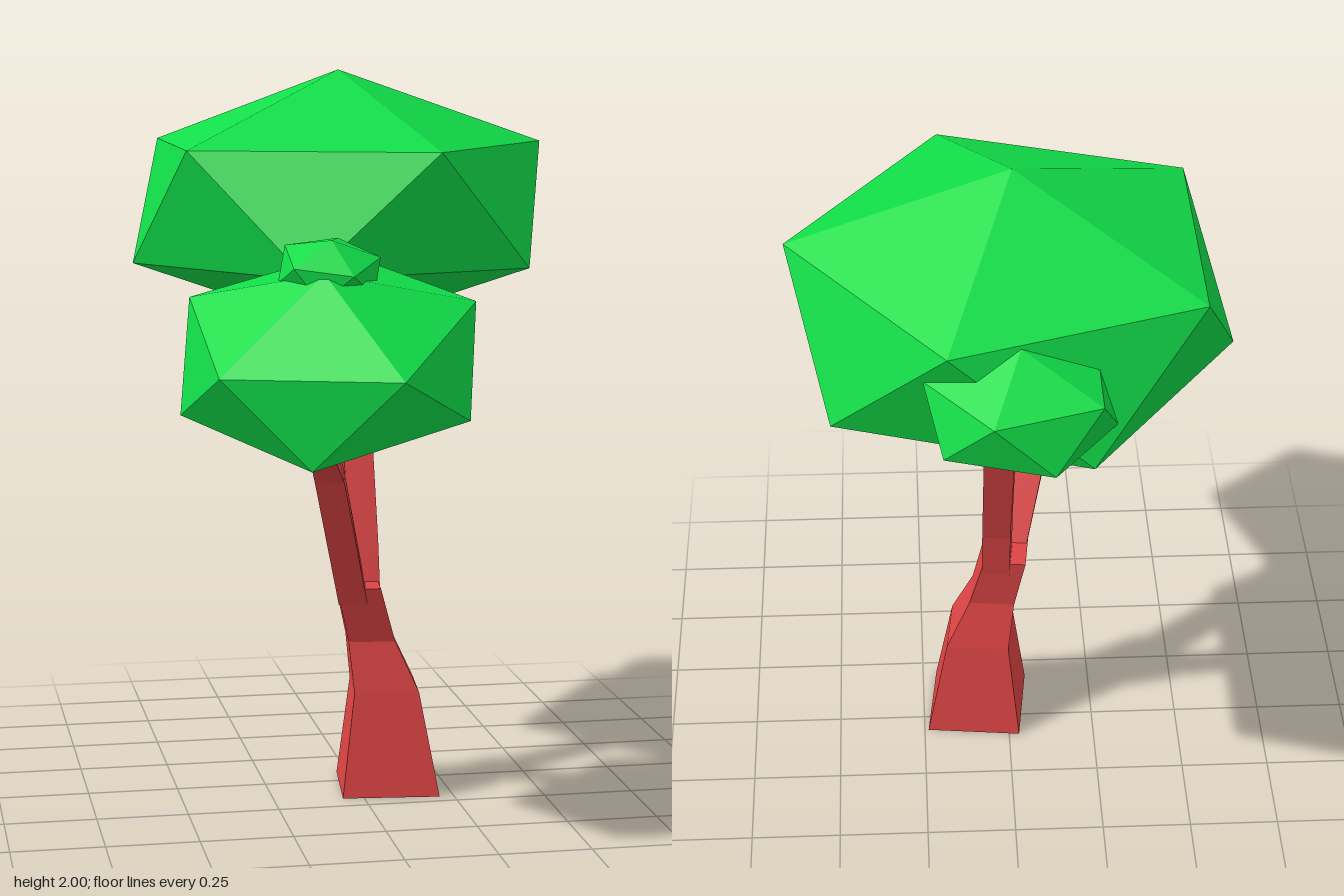
import * as THREE from 'three';
import { ConvexGeometry } from 'three/addons/geometries/ConvexGeometry.js';

const bark = new THREE.MeshStandardMaterial({ color: 0xdd4444, flatShading: true });
const leaf = new THREE.MeshStandardMaterial({ color: 0x11dd48, flatShading: true });

// Four-sided limb through sections [x, y, z, width, depth, forward tilt]
function limb(name, sections, yaw = 0.11) {
  const rows = sections.length - 1;
  const geo = new THREE.CylinderGeometry(Math.SQRT1_2, Math.SQRT1_2, 1, 4, rows, false, Math.PI / 4);
  const p = geo.attributes.position;
  const c = Math.cos(yaw), s = Math.sin(yaw);
  for (let i = 0; i < p.count; i++) {
    const [x, y, z, w, d, tilt = 0] = sections[Math.round((p.getY(i) + 0.5) * rows)];
    const px = p.getX(i) * w, pz = p.getZ(i) * d;
    const dx = px * c - pz * s, dz = px * s + pz * c;
    p.setXYZ(i, x + dx, y - dz * Math.sin(tilt), z + dz * Math.cos(tilt));
  }
  const flat = geo.toNonIndexed();
  flat.computeVertexNormals();
  const mesh = new THREE.Mesh(flat, bark);
  mesh.name = name;
  return mesh;
}

// Stretched icosahedron: a pole vector plus the two axes of its five-corner rings
function foliage(name, center, pole, u, v) {
  const P = new THREE.Vector3(...pole), U = new THREE.Vector3(...u), V = new THREE.Vector3(...v);
  const points = [P, P.clone().negate()];
  for (let k = 0; k < 5; k++) {
    const a = (k * Math.PI * 2) / 5;
    const r = P.clone().multiplyScalar(1 / Math.sqrt(5))
      .addScaledVector(U, Math.cos(a)).addScaledVector(V, Math.sin(a));
    points.push(r, r.clone().negate());
  }
  const mesh = new THREE.Mesh(new ConvexGeometry(points), leaf);
  mesh.position.set(...center);
  mesh.name = name;
  return mesh;
}

export function createModel() {
  const tree = new THREE.Group();
  tree.name = 'tree';

  // Trunk and branches
  tree.add(
    limb('trunk', [
      [0.09, 0, 0.06, 0.27, 0.27],
      [0.08, 0.29, 0.06, 0.18, 0.19],
      [0.04, 0.43, 0.06, 0.13, 0.13],
      [0, 0.59, 0.07, 0.12, 0.19],
    ]),
    limb('mainBranch', [
      [0.03, 0.55, 0.03, 0.08, 0.1],
      [0.03, 0.7, 0, 0.08, 0.09],
      [0.025, 1.06, -0.1, 0.085, 0.09, -0.3],
      [0.02, 1.18, -0.17, 0.08, 0.1, -0.6],
      [0, 1.34, -0.33, 0.07, 0.08, -0.7],
    ]),
    limb('upperTwig', [
      [0.025, 1.05, -0.1, 0.07, 0.08],
      [0.03, 1.2, -0.12, 0.07, 0.07],
      [0.03, 1.4, -0.125, 0.06, 0.06],
    ]),
    limb('frontBranch', [
      [-0.02, 0.56, 0.11, 0.08, 0.09, 0.4],
      [-0.12, 0.94, 0.31, 0.08, 0.08, 0.5],
      [-0.15, 1.01, 0.4, 0.07, 0.07, 0.8],
      [-0.19, 1.1, 0.6, 0.05, 0.05, 1.1],
    ]),
    limb('sideTwig', [
      [-0.13, 0.95, 0.32, 0.07, 0.08],
      [-0.15, 1.05, 0.335, 0.07, 0.07],
      [-0.14, 1.25, 0.3, 0.06, 0.06],
    ]),
  );

  // Leaf masses
  tree.add(
    foliage('mainCanopy', [0, 1.63, -0.22], [0, 0.37, 0], [0.585, 0, 0], [0, 0, 0.585]),
    foliage('frontCanopy', [-0.165, 1.285, 0.555],
      [-0.025, 0.226, 0.09], [0.136, -0.116, 0.345], [-0.364, -0.084, 0.102]),
    foliage('frontTuft', [-0.16, 1.51, 0.545],
      [0, 0.08, 0.035], [0.04, -0.04, 0.12], [-0.125, -0.01, 0.04]),
    foliage('backTuft', [0, 1.63, -0.72], [0, 0.157, 0], [0.24, 0, 0], [0, 0, 0.23]),
  );
  return tree;
}
